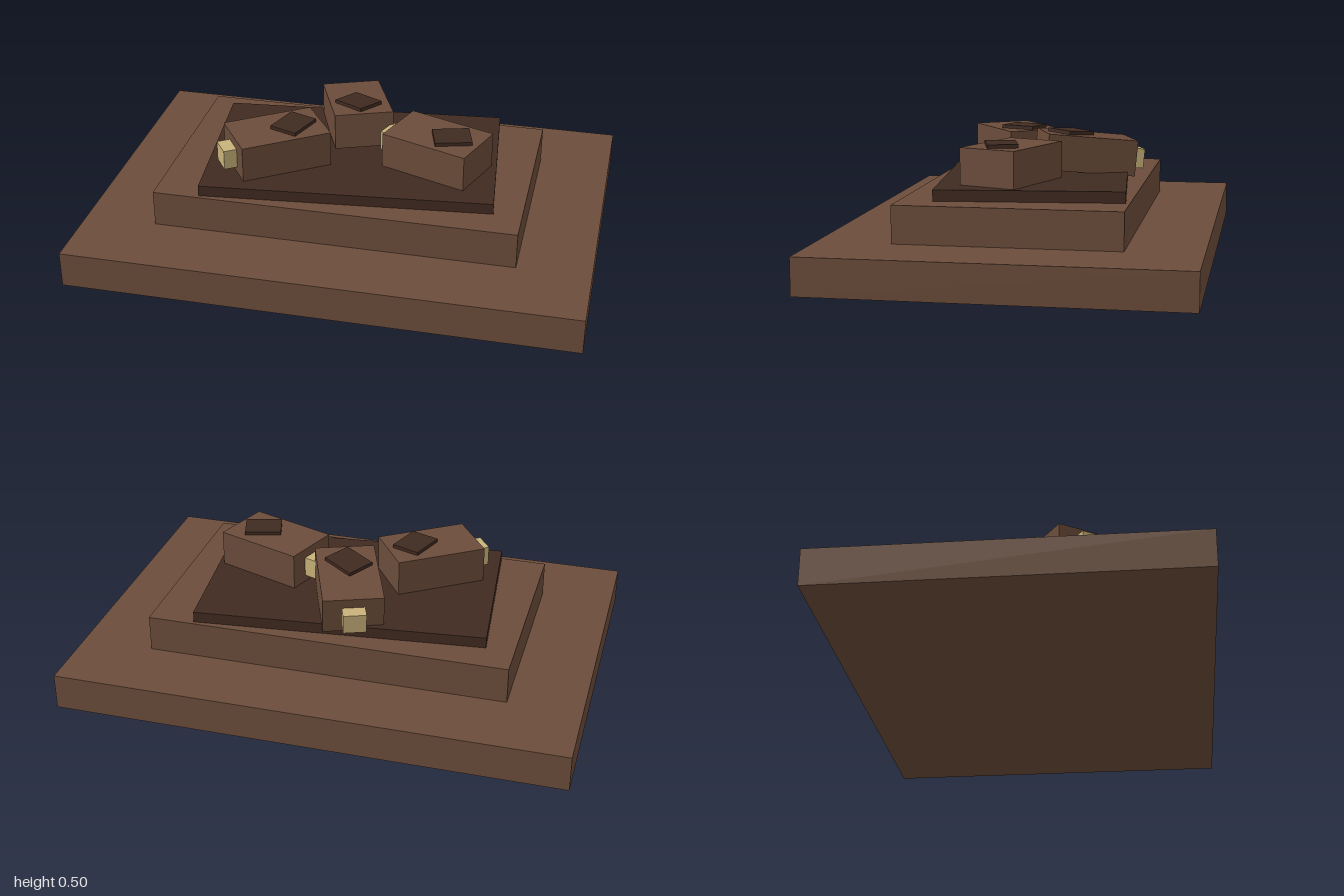
import * as THREE from 'three';

const brown = new THREE.MeshStandardMaterial({ color: 0x6b4c3a });
brown.name = 'brown';
const darkBrown = new THREE.MeshStandardMaterial({ color: 0x3f2a20 });
darkBrown.name = 'darkBrown';
const cream = new THREE.MeshStandardMaterial({ color: 0xc8b27a });
cream.name = 'cream';

// Box standing on height y
function box(name, material, w, h, d, x, y, z) {
  const mesh = new THREE.Mesh(new THREE.BoxGeometry(w, h, d), material);
  mesh.name = name;
  mesh.position.set(x, y + h / 2, z);
  return mesh;
}

// Loose block with a dark patch on top and a pale tab on one end
function makeBlock(name, x, z, turn, tilt) {
  const block = new THREE.Group();
  block.name = name;
  block.add(box('blockBody', brown, 0.365, 0.143, 0.236, 0, -0.0715, 0));

  const patch = box('topPatch', darkBrown, 0.146, 0.028, 0.118, 0.067, 0.0575, 0.005);
  patch.rotation.y = 0.62;
  block.add(patch);

  block.add(box('endTab', cream, 0.07, 0.079, 0.09, -0.2, -0.045, 0));

  block.position.set(x, 0.401, z);
  block.rotation.set(0, turn, tilt);
  return block;
}

export function createModel() {
  const model = new THREE.Group();
  model.name = 'steppedPlinthWithBlocks';

  // Two stepped tiers
  model.add(box('lowerTier', brown, 2, 0.143, 1.428, 0, 0, 0));
  model.add(box('upperTier', brown, 1.428, 0.144, 0.854, 0, 0.143, 0));

  // Slightly turned dark slab
  const slab = box('slab', darkBrown, 1.142, 0.043, 0.714, 0, 0.287, 0);
  slab.rotation.y = 0.1;
  model.add(slab);

  // Three scattered blocks, the rear one tipped up
  model.add(makeBlock('leftBlock', 0.342, 0.05, -0.35, 0));
  model.add(makeBlock('rightBlock', -0.287, 0.138, 0.6, 0));
  model.add(makeBlock('rearBlock', -0.032, -0.183, -1.2, 0.1));

  return model;
}
